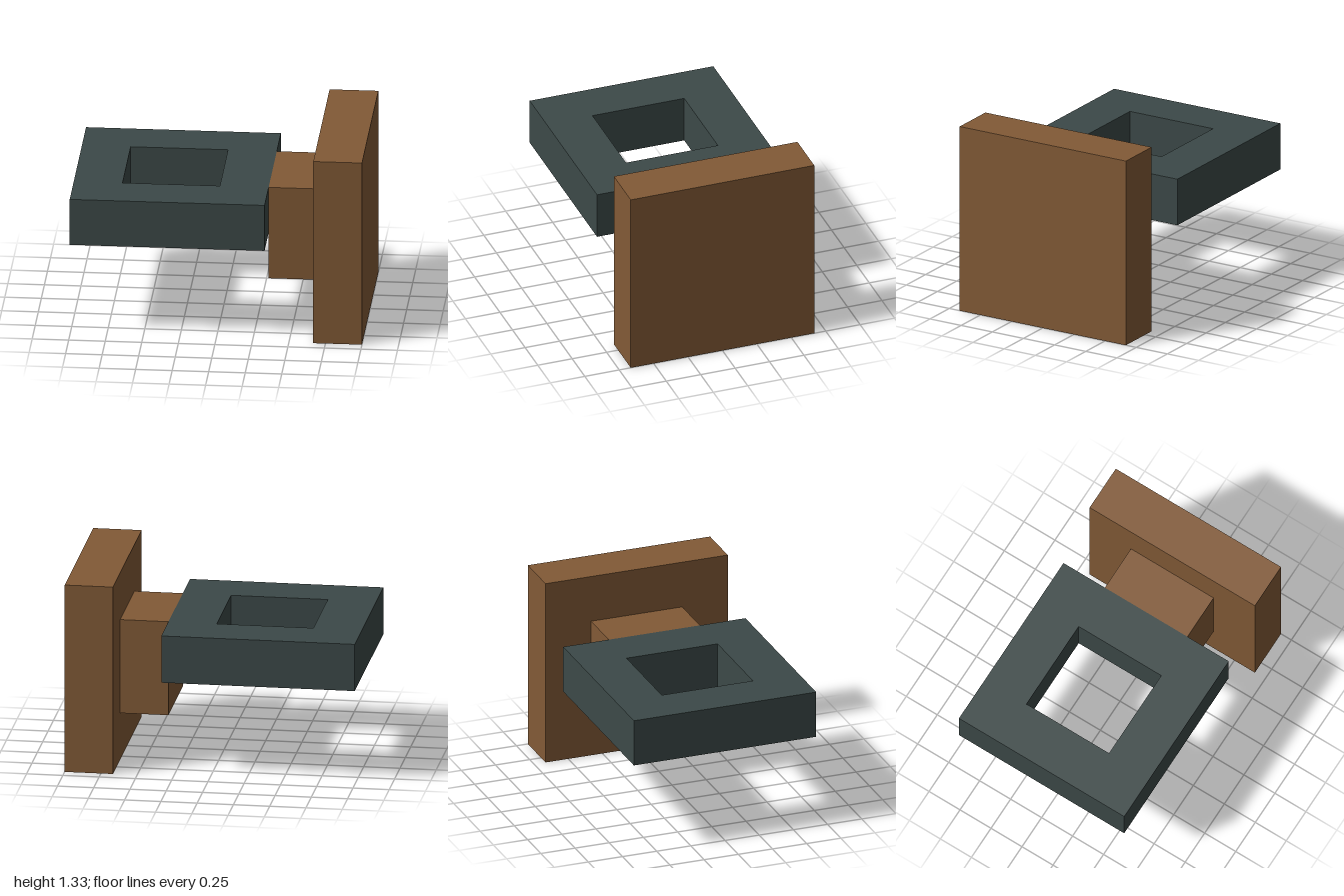
import * as THREE from 'three';

export function createModel() {
  const U = 1 / 3; // one grid unit
  const wood = new THREE.MeshStandardMaterial({ color: 0x825a36 });
  wood.name = 'brown wood';
  const iron = new THREE.MeshStandardMaterial({ color: 0x3c4948 });
  iron.name = 'dark iron';

  const group = new THREE.Group();
  group.name = 'wallBracket';

  function add(name, geometry, material, x, y) {
    const mesh = new THREE.Mesh(geometry, material);
    mesh.name = name;
    mesh.position.set(x * U, y * U, 0);
    group.add(mesh);
  }

  // Counter-clockwise square outline, centred on the origin
  const square = (h) =>
    [[-h, -h], [h, -h], [h, h], [-h, h]].map(([x, y]) => new THREE.Vector2(x, y));

  // Upright backing plate and the block that carries the ring
  add('backPlate', new THREE.BoxGeometry(U, 4 * U, 4 * U), wood, 2.5, 2);
  add('mountBlock', new THREE.BoxGeometry(U, 2 * U, 2 * U), wood, 1.5, 2);

  // Flat square ring with a square hole
  const outline = new THREE.Shape(square(2 * U));
  outline.holes.push(new THREE.Path(square(U).reverse()));
  const ring = new THREE.ExtrudeGeometry(outline, { depth: U, bevelEnabled: false });
  ring.rotateX(-Math.PI / 2);
  add('squareRing', ring, iron, -1, 2);

  return group;
}
